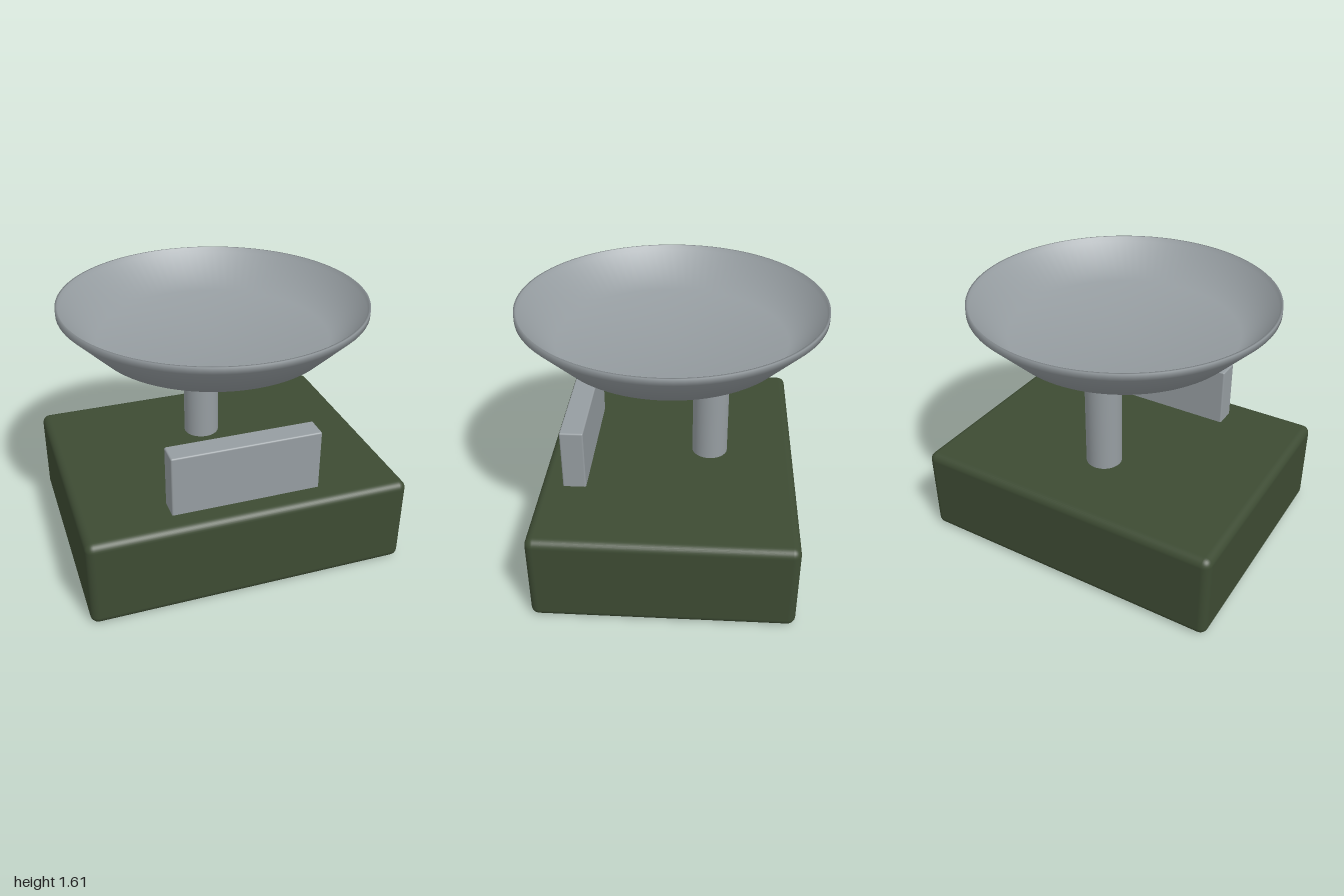
import * as THREE from 'three';
import { RoundedBoxGeometry } from 'three/addons/geometries/RoundedBoxGeometry.js';

function material(name, color) {
  const m = new THREE.MeshStandardMaterial({ color });
  m.name = name;
  return m;
}

function lathe(points, segments) {
  return new THREE.LatheGeometry(points.map(([r, y]) => new THREE.Vector2(r, y)), segments);
}

export function createModel() {
  const group = new THREE.Group();
  const green = material('dark green', 0x3d4b33);
  const grey = material('metal grey', 0x969da1);

  const add = (name, geometry, mat, x, y, z) => {
    const mesh = new THREE.Mesh(geometry, mat);
    mesh.name = name;
    mesh.position.set(x, y, z);
    group.add(mesh);
  };

  // Heavy body with rounded edges
  add('base', new RoundedBoxGeometry(2, 0.57, 1.57, 4, 0.05), green, 0, 0.285, 0);

  // Upright display plate at the front, sunk slightly into the base
  add('displayPanel', new RoundedBoxGeometry(0.925, 0.435, 0.143, 2, 0.01), grey, 0, 0.7375, 0.572);

  // Support column with a small bevel at the top
  add('column', lathe([
    [0.113, 0.54], [0.113, 0.56], [0.113, 1.34], [0.11, 1.353], [0.1, 1.362], [0, 1.362],
  ], 48), grey, 0, 0, -0.247);

  // Shallow dish: outer wall, rim, then inner wall and floor
  add('weighingBowl', lathe([
    [0, 1.36], [0.715, 1.36], [0.928, 1.573], [0.928, 1.613],
    [0.915, 1.613], [0.908, 1.585], [0.705, 1.38], [0, 1.38],
  ], 96), grey, 0, 0, 0);

  return group;
}
